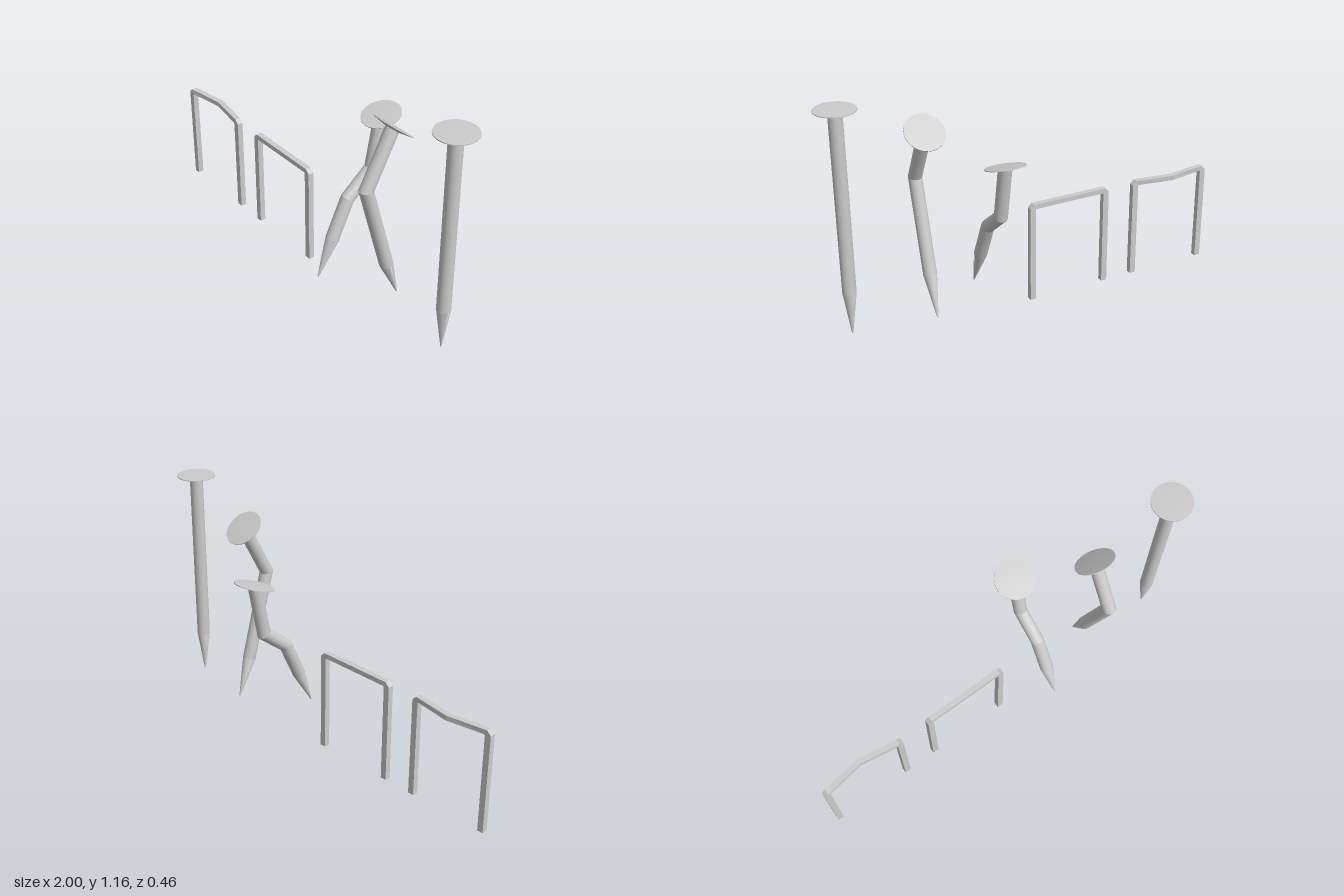
import * as THREE from 'three';
import { mergeGeometries, toCreasedNormals } from 'three/addons/utils/BufferGeometryUtils.js';

const material = new THREE.MeshStandardMaterial({ color: 0xcccccc });
const SIDES = 32, SHAFT_R = 0.032, HEAD_R = 0.094;

// Skin a list of equal-length rings of [x, y, z], with fan caps on request
function loft(rings, capped) {
  const n = rings[0].length, index = [];
  for (let k = 0; k < rings.length - 1; k++) {
    for (let i = 0; i < n; i++) {
      const j = (i + 1) % n, a = k * n + i, b = k * n + j;
      index.push(a, a + n, b, b, a + n, b + n);
    }
  }
  if (capped) {
    const e = (rings.length - 1) * n;
    for (let i = 1; i < n - 1; i++) index.push(0, i, i + 1, e, e + i + 1, e + i);
  }
  const g = new THREE.BufferGeometry();
  g.setAttribute('position', new THREE.Float32BufferAttribute(rings.flat(2), 3));
  g.setIndex(index);
  g.computeVertexNormals();
  return g;
}

// Nail: path holds [z, y] from tip to head; tilt leans the head towards +z
function makeNail(name, x, path, tilt) {
  const pts = path.map(([z, y]) => new THREE.Vector2(z, y));
  const dirs = pts.slice(1).map((p, i) => p.clone().sub(pts[i]).normalize());
  const rings = pts.map((p, k) => {
    const last = k === pts.length - 1;
    const before = dirs[Math.max(k - 1, 0)];
    const axis = last
      ? new THREE.Vector2(Math.sin(tilt), Math.cos(tilt))
      : before.clone().add(dirs[k]).normalize();
    const r = k === 0 ? 0.003 : SHAFT_R;
    const mitre = r / axis.dot(before);
    return Array.from({ length: SIDES }, (_, i) => {
      const a = (i / SIDES) * Math.PI * 2, s = Math.sin(a) * mitre;
      return [x + Math.cos(a) * r, p.y - axis.x * s, p.x + axis.y * s];
    });
  });

  // each straight run is skinned on its own so the bends stay crisp
  const runs = rings.slice(1).map((ring, k) => loft([rings[k], ring], k === 0));
  const shaft = new THREE.Mesh(mergeGeometries(runs), material);
  shaft.name = 'nailShaft';

  // thin, slightly domed head
  const profile = [[0, -0.012], [0.035, -0.012], [HEAD_R, -0.002], [HEAD_R, 0.002], [0, 0.006]];
  const lathe = new THREE.LatheGeometry(profile.map(([r, y]) => new THREE.Vector2(r, y)), 40);
  const head = new THREE.Mesh(toCreasedNormals(lathe, 0.4), material);
  head.name = 'nailHead';
  const top = pts[pts.length - 1];
  head.position.set(x, top.y, top.x);
  head.rotation.x = tilt;

  const nail = new THREE.Group();
  nail.name = name;
  nail.add(shaft, head);
  return nail;
}

// Staple: square wire with chamfered outer corners; dent pushes the bar's middle back
function makeStaple(name, x, dent) {
  const w = 0.215, t = 0.03, h = 0.51, z = 0.083, d = 0.014;
  const ring = (outer, inner, dz = 0) => [
    [x + inner[0], inner[1], z - d + dz], [x + inner[0], inner[1], z + d + dz],
    [x + outer[0], outer[1], z + d + dz], [x + outer[0], outer[1], z - d + dz],
  ];
  const half = [
    [[-w, 0], [-w + t, 0]],
    [[-w, h - 0.02], [-w + t, h - 0.028]],
    [[-w + 0.02, h], [-w + t + 0.004, h - 0.024]],
  ];
  const mirrored = half.map((pair) => pair.map(([px, py]) => [-px, py])).reverse();
  const rings = [
    ...half.map(([o, i]) => ring(o, i)),
    ring([0, h], [0, h - 0.024], -dent),
    ...mirrored.map(([o, i]) => ring(o, i)),
  ];
  const g = loft(rings, true).toNonIndexed();
  g.computeVertexNormals();
  const mesh = new THREE.Mesh(g, material);
  mesh.name = name;
  return mesh;
}

export function createModel() {
  const model = new THREE.Group();
  model.name = 'nailsAndStaples';
  model.add(
    makeStaple('bentStaple', -0.785, 0.03),
    makeStaple('straightStaple', -0.215, 0),
    makeNail('doubleBentNail', 0.23,
      [[0.225, 0.1], [0.142, 0.28], [0.055, 0.465], [-0.083, 0.575], [-0.134, 0.836]], 0.275),
    makeNail('singleBentNail', 0.52,
      [[0, 0.087], [0.07, 0.28], [0.197, 0.722], [0.058, 0.985]], -0.69),
    makeNail('straightNail', 0.903,
      [[0.085, 0.073], [0.085, 0.28], [0.085, 1.15]], 0),
  );
  return model;
}
